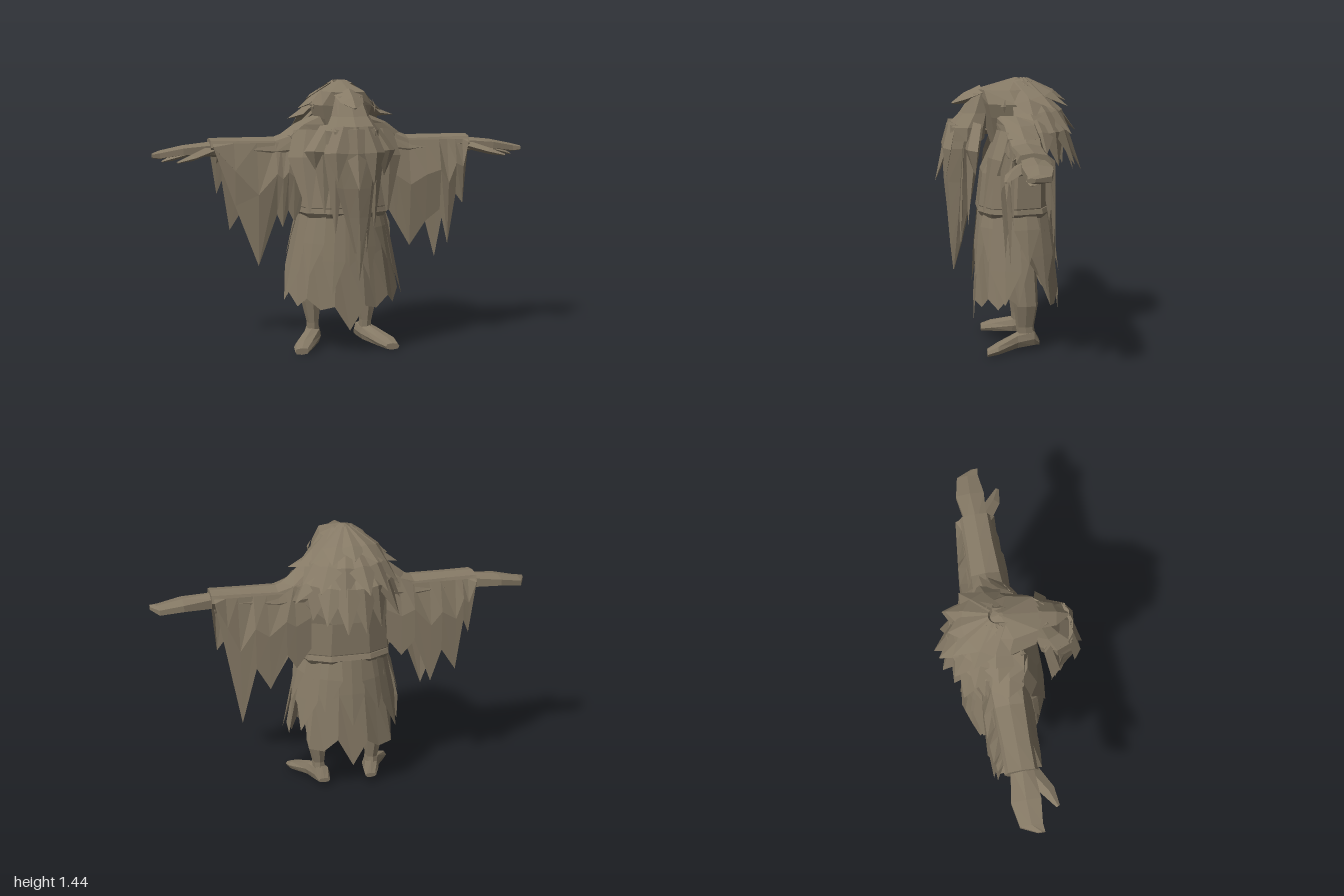
import * as THREE from 'three';

const cloth = new THREE.MeshStandardMaterial({ color: 0x857965, flatShading: true, side: THREE.DoubleSide });
cloth.name = 'drab brown';
const V = (x, y, z) => new THREE.Vector3(x, y, z);

// Small seeded random for ragged edges
let seed = 7;
const rnd = (a, b) => {
  seed = (seed * 16807) % 2147483647;
  return a + (b - a) * (seed / 2147483647);
};

// Skin a grid of points; closed solids get end fans and outward winding
function skin(rows, closed) {
  const tris = [], n = rows[0].length;
  for (let i = 0; i < rows.length - 1; i++) {
    for (let j = 0; j < (closed ? n : n - 1); j++) {
      const k = (j + 1) % n;
      const a = rows[i][j], b = rows[i][k], c = rows[i + 1][k], d = rows[i + 1][j];
      tris.push([a, d, c], [a, c, b]);
    }
  }
  if (closed) {
    for (const [row, flip] of [[rows[0], false], [rows[rows.length - 1], true]]) {
      const mid = row.reduce((s, p) => s.add(p), V(0, 0, 0)).divideScalar(n);
      row.forEach((p, j) => {
        const q = row[(j + 1) % n];
        tris.push(flip ? [mid, q, p] : [mid, p, q]);
      });
    }
    const vol = tris.reduce((s, t) => s + t[0].dot(t[1].clone().cross(t[2])), 0);
    if (vol < 0) tris.forEach(t => t.reverse());
  }
  const g = new THREE.BufferGeometry().setFromPoints(tris.flat());
  g.computeVertexNormals();
  return g;
}

// Squared oval ring lying across an axis, spanning a0..a1 and b0..b1
function ring(axis, at, a0, a1, b0, b1, n = 8) {
  const sq = v => Math.sign(v) * Math.pow(Math.abs(v), 0.75);
  return Array.from({ length: n }, (_, i) => {
    const t = (i / n) * Math.PI * 2;
    const a = (a0 + a1) / 2 + sq(Math.cos(t)) * (a1 - a0) / 2;
    const b = (b0 + b1) / 2 + sq(Math.sin(t)) * (b1 - b0) / 2;
    return axis === 'y' ? V(a, at, b) : axis === 'x' ? V(at, a, b) : V(a, b, at);
  });
}
const loft = (axis, list, n) => skin(list.map(r => ring(axis, ...r, n)), true);

// Pointed tuft along a path; side is its flat width direction
function tuft(path, widths, side, thick = 0.3) {
  const rows = path.map((p, i) => {
    const dir = path[Math.min(i + 1, path.length - 1)].clone().sub(path[Math.max(i - 1, 0)]).normalize();
    const s = side.clone().normalize(), up = s.clone().cross(dir).normalize(), w = widths[i] / 2;
    return [[1, 0], [0, thick], [-1, 0], [0, -thick]].map(([a, b]) =>
      p.clone().addScaledVector(s, a * w).addScaledVector(up, b * w));
  });
  return skin(rows, true);
}

export function createModel() {
  const model = new THREE.Group();
  model.name = 'raggedElder';
  const add = (name, geo) => {
    const m = new THREE.Mesh(geo, cloth);
    m.name = name;
    model.add(m);
  };

  // Body with sloping shoulders, and belt: y, x range, z range
  add('torso', loft('y', [
    [0.72, -0.22, 0.22, -0.2, 0.14], [0.78, -0.25, 0.25, -0.22, 0.165], [0.95, -0.23, 0.23, -0.22, 0.145],
    [1.08, -0.3, 0.3, -0.2, 0.08], [1.15, -0.33, 0.33, -0.18, 0.06], [1.21, -0.25, 0.25, -0.16, 0.07],
    [1.26, -0.13, 0.13, -0.15, 0.09]], 10));
  add('belt', loft('y', [
    [0.725, -0.235, 0.235, -0.22, 0.155], [0.75, -0.255, 0.255, -0.235, 0.17], [0.775, -0.25, 0.25, -0.225, 0.165]], 10));

  // Head with bare cheeks and sloping crown
  add('head', loft('y', [
    [1.1, -0.09, 0.09, -0.12, 0.09], [1.24, -0.15, 0.15, -0.2, 0.13], [1.31, -0.17, 0.17, -0.22, 0.15],
    [1.38, -0.115, 0.115, -0.17, 0.165], [1.437, -0.012, 0.012, -0.055, -0.035]], 8));
  add('nose', tuft([V(0, 1.365, 0.13), V(0, 1.33, 0.22), V(0, 1.305, 0.29)], [0.15, 0.12, 0.02], V(1, 0, 0), 0.5));
  add('moustache', loft('y', [
    [1.12, -0.14, 0.14, 0.12, 0.32], [1.19, -0.14, 0.14, 0.11, 0.32], [1.26, -0.1, 0.1, 0.1, 0.25],
    [1.36, -0.07, 0.07, 0.1, 0.185]], 8));
  for (const s of [-1, 1]) {
    add('eye', tuft([V(s * 0.155, 1.335, 0.025), V(s * 0.168, 1.3, 0.035), V(s * 0.165, 1.27, 0.03)],
      [0.004, 0.03, 0.004], V(0, 0, 1), 0.3));
  }

  // Beard: a long core with separate pointed locks
  add('beard', loft('y', [
    [1.2, -0.13, 0.13, 0.12, 0.32], [1.08, -0.13, 0.13, 0.14, 0.345], [0.9, -0.09, 0.1, 0.17, 0.335],
    [0.75, -0.05, 0.08, 0.2, 0.32], [0.56, 0, 0.05, 0.245, 0.305], [0.42, 0.02, 0.025, 0.285, 0.29]], 8));
  const beardTips = [ // tip x, y, z
    [-0.18, 0.98, 0.18], [-0.14, 0.76, 0.2], [-0.09, 0.66, 0.23], [0, 0.9, 0.38],
    [0.07, 0.56, 0.25], [0.12, 0.68, 0.215], [0.18, 0.95, 0.18], [-0.1, 0.94, 0.33], [0.09, 0.92, 0.33]];
  beardTips.forEach(([x, y, z]) => {
    const zm = Math.abs(x) > 0.11 ? 0.2 : z > 0.32 ? 0.32 : 0.25;
    add('beardLock', tuft([V(x * 0.6, 1.21, zm - 0.03), V(x * 1.05, 1.08, zm), V(x, y, z)],
      [0.1, 0.12, 0.004], V(1, 0, -x * 3), 0.4));
  });

  // Hair in three layers around the back of the head, rising or falling towards the sides
  const layers = [ // count, half sweep, start radius/y, mid radius/y, tip radius/y, width, side lift
    [7, 1.4, 0.03, 1.42, 0.16, 1.355, 0.25, 1.3, 0.15, -0.04],
    [8, 1.45, 0.1, 1.35, 0.2, 1.26, 0.285, 1.13, 0.16, 0.09],
    [8, 1.2, 0.12, 1.28, 0.23, 1.16, 0.3, 0.95, 0.16, 0.12]];
  layers.forEach(([n, sweep, r0, y0, r1, y1, r2, y2, w, lift]) => {
    for (let i = 0; i < n; i++) {
      const u = -1 + (2 * i) / (n - 1), t = u * sweep, sx = Math.sin(t), cz = -Math.cos(t);
      const tip = r2 + rnd(-0.03, 0.025);
      const at = (r, y, k) => V(sx * r, y + lift * k * u * u, -0.07 + cz * r);
      add('hairLock', tuft([at(r0, y0, 0), at(r1, Math.min(y1, 1.36), lift < 0 ? 1 : 0), at(tip, y2 + rnd(-0.03, 0.03), 1)],
        [w * 0.8, w, 0.004], V(cz, 0, -sx), 0.3));
    }
  });

  // Skirt: flared sheet with a ragged hem, angle 0 at the front
  const hem = [0.13, 0.26, 0.24, 0.3, 0.25, 0.32, 0.28, 0.5, 0.42, 0.26, 0.25, 0.32,
    0.17, 0.3, 0.25, 0.26, 0.4, 0.5, 0.28, 0.32, 0.25, 0.3, 0.24, 0.26];
  const around = (t, y, grow) => {
    const f = (0.75 - y) / 0.5, c = Math.cos(t);
    return V(Math.sin(t) * (0.23 + 0.08 * f + grow), y,
      -0.035 + c * ((c > 0 ? 0.19 + 0.025 * f : 0.19 + 0.05 * f) + grow * 0.6));
  };
  const skirtRow = k => Array.from({ length: 25 }, (_, i) =>
    around((i / 24) * Math.PI * 2, 0.75 + (hem[i % 24] - 0.75) * k, i % 2 ? 0.01 * k : -0.01 * k));
  add('skirt', skin([skirtRow(0), skirtRow(0.45), skirtRow(1)], false));

  // Loose rag strips over the skirt: angle, tip height, width
  const rags = [[-0.3, 0.33, 0.12], [0.35, 0.4, 0.12], [-0.75, 0.42, 0.13], [0.8, 0.5, 0.13], [-1.3, 0.28, 0.17],
    [1.25, 0.29, 0.17], [1.8, 0.5, 0.14], [-1.8, 0.5, 0.14], [2.2, 0.36, 0.15], [-2.25, 0.34, 0.15],
    [2.65, 0.48, 0.16], [-2.65, 0.47, 0.16], [3.14, 0.4, 0.14]];
  rags.forEach(([t, y, w]) => add('skirtRag', tuft(
    [around(t, 0.75, 0), around(t, y + 0.17, 0.012), around(t, y, 0.03)],
    [w * 0.8, w, 0.005], V(Math.cos(t), 0, -Math.sin(t)), 0.12)));

  // Hanging sleeve edges: pairs of distance from centre, hem height
  const drapes = {
    '-1': {
      sleeveFront: [[0.2, 0.82], [0.27, 0.7], [0.3, 0.76], [0.33, 0.67], [0.36, 0.74], [0.46, 0.47], [0.58, 0.79], [0.69, 1.1]],
      sleeveBack: [[0.2, 0.84], [0.28, 0.74], [0.35, 0.82], [0.44, 0.58], [0.5, 0.75], [0.58, 0.63], [0.62, 0.9], [0.65, 0.83], [0.69, 1.1]]
    },
    '1': {
      sleeveFront: [[0.2, 0.82], [0.25, 0.74], [0.29, 0.67], [0.36, 0.55], [0.45, 0.68], [0.53, 0.74], [0.575, 0.55], [0.62, 0.82], [0.66, 0.77], [0.69, 1.1]],
      sleeveBack: [[0.2, 0.82], [0.28, 0.72], [0.33, 0.8], [0.42, 0.62], [0.49, 0.74], [0.57, 0.44], [0.63, 0.77], [0.69, 1.1]]
    }
  };
  for (const s of [-1, 1]) {
    // Sleeve with front and back drapes
    add('sleeve', loft('x', [
      [s * 0.2, 0.98, 1.2, -0.17, 0.04], [s * 0.36, 1.0, 1.14, -0.16, 0.03],
      [s * 0.55, 1.03, 1.14, -0.15, 0.02], [s * 0.7, 1.05, 1.14, -0.15, 0.02]], 8));
    for (const [name, z0, bulge, low] of [['sleeveFront', 0.015, 0.05, 0.5], ['sleeveBack', -0.145, -0.05, 1.05]]) {
      const d = drapes[s][name];
      const swell = x => bulge * Math.sin(Math.PI * (0.25 + 0.6 * (x - 0.2) / 0.49));
      add(name, skin([
        d.map(([x]) => V(s * x, x < 0.3 ? 1.15 : 1.115, z0)),
        d.map(([x, y]) => V(s * x, 1.1 - (1.1 - y) * 0.4, z0 + swell(x))),
        d.map(([x, y]) => V(s * x, y, z0 + swell(x) * low))], false));
    }

    // Chest rag hanging beside the beard
    add('chestRag', tuft([V(s * 0.2, 1.18, 0.04), V(s * 0.23, 1.04, 0.085), V(s * 0.21, 0.76, 0.14)],
      [0.14, 0.16, 0.02], V(1, 0, -s * 0.4), 0.18));

    // Mitten hand with thumb and lower finger
    add('hand', loft('x', [
      [s * 0.66, 1.04, 1.125, -0.12, 0.0], [s * 0.84, 1.05, 1.105, -0.15, 0.015],
      [s * 0.96, 1.035, 1.08, -0.125, 0.0], [s * 1.0, 1.045, 1.07, -0.04, 0.0]], 6));
    add('thumb', tuft([V(s * 0.7, 1.08, -0.02), V(s * 0.8, 1.05, 0.05), V(s * 0.88, 1.03, 0.085)],
      [0.09, 0.07, 0.02], V(-s * 0.5, 0, 1), 0.5));
    add('finger', tuft([V(s * 0.82, 1.06, -0.05), V(s * 0.9, 1.04, -0.04), V(s * 0.95, 1.025, -0.03)],
      [0.08, 0.07, 0.02], V(0, 0, 1), 0.4));

    // Leg and outward-turned foot
    const x = (a, b) => (s > 0 ? [a, b] : [-b, -a]);
    add('leg', loft('y', [
      [0.06, ...x(0.11, 0.18), -0.14, -0.04], [0.13, ...x(0.115, 0.18), -0.13, -0.035],
      [0.25, ...x(0.1, 0.21), -0.15, -0.02], [0.55, ...x(0.06, 0.2), -0.14, 0.03]], 8));
    add('foot', loft('z', [
      [-0.16, ...x(0.1, 0.16), 0.025, 0.05], [-0.13, ...x(0.095, 0.18), 0.02, 0.11], [-0.04, ...x(0.11, 0.21), 0.015, 0.1],
      [0.07, ...x(0.17, 0.28), 0.005, 0.06], [0.125, ...x(0.21, 0.285), 0.0, 0.035]], 8));
  }
  return model;
}
